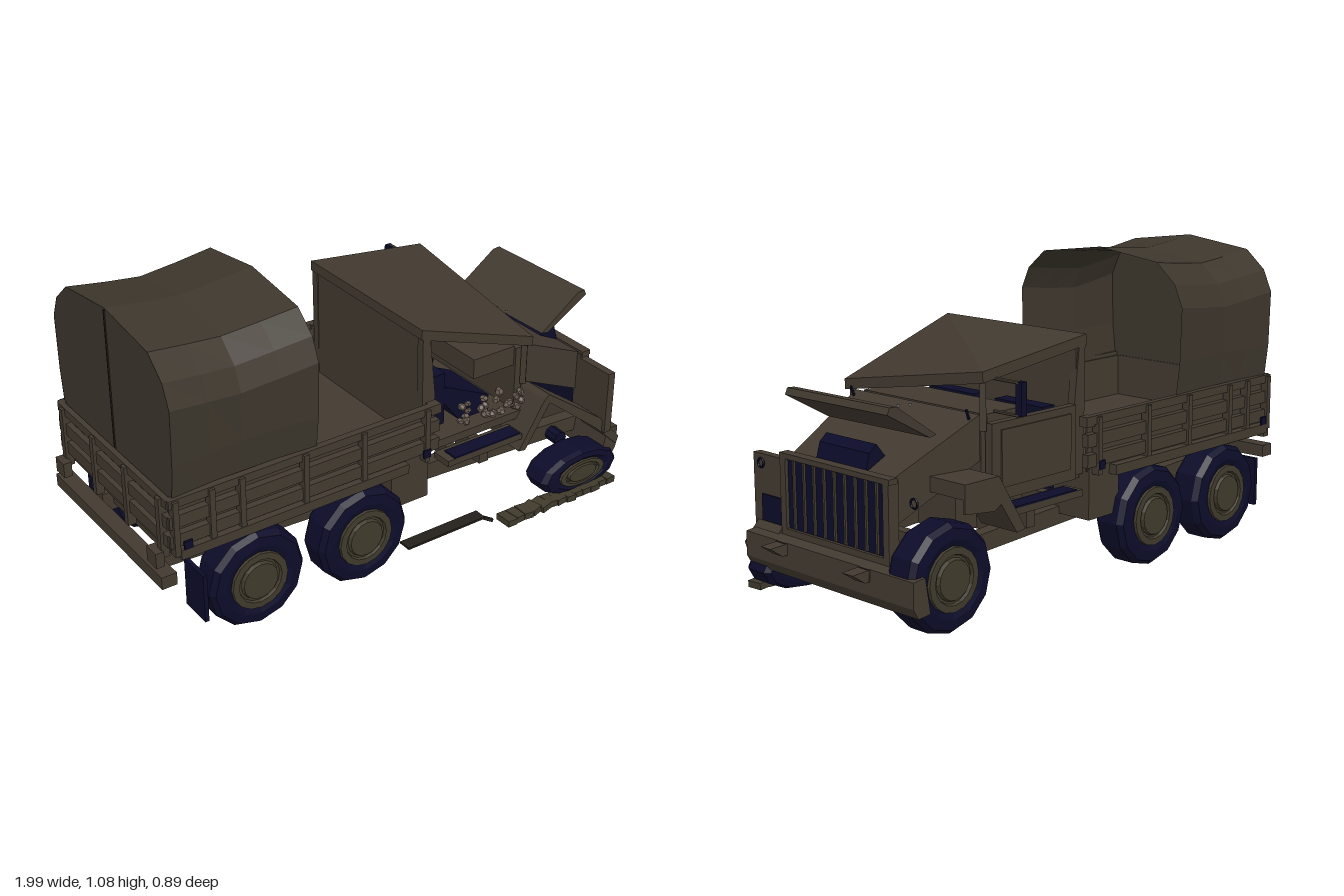
import * as THREE from 'three';
import { ConvexGeometry } from 'three/addons/geometries/ConvexGeometry.js';

export function createModel() {
  const g = new THREE.Group();
  const paint = (name, color) => {
    const m = new THREE.MeshStandardMaterial({ color, flatShading: true, side: THREE.DoubleSide });
    m.name = name;
    return m;
  };
  const body = paint('drab body', 0x423a30);
  const canvas = paint('canvas', 0x3d362c);
  const navy = paint('dark navy', 0x0c0c2a);
  const hubMat = paint('olive hub', 0x403a2c);
  const dark = paint('dark metal', 0x241f1a);
  const rubbleMat = paint('rubble', 0x67594f);

  const add = (name, geo, mat, parent = g) => {
    const m = new THREE.Mesh(geo, mat);
    m.name = name;
    parent.add(m);
    return m;
  };
  // box given by its extents
  const box = (name, mat, x0, x1, y0, y1, z0, z1) => {
    const m = add(name, new THREE.BoxGeometry(x1 - x0, y1 - y0, z1 - z0), mat);
    m.position.set((x0 + x1) / 2, (y0 + y1) / 2, (z0 + z1) / 2);
    return m;
  };
  const pair = (name, mat, x0, x1, y0, y1, z0, z1) => {
    box(name, mat, x0, x1, y0, y1, z0, z1);
    box(name, mat, x0, x1, y0, y1, -z1, -z0);
  };
  // side outline (x, y) pushed from z0 to z1
  const prism = (name, mat, pts, z0, z1) => {
    const s = new THREE.Shape(pts.map(p => new THREE.Vector2(p[0], p[1])));
    const m = add(name, new THREE.ExtrudeGeometry(s, { depth: z1 - z0, bevelEnabled: false }), mat);
    m.position.z = z0;
    return m;
  };
  const rod = (name, mat, a, b, r, sides = 8) => {
    const p = new THREE.Vector3(...a), q = new THREE.Vector3(...b), d = q.clone().sub(p);
    const m = add(name, new THREE.CylinderGeometry(r, r, d.length(), sides), mat);
    m.position.copy(p).add(q).multiplyScalar(0.5);
    m.quaternion.setFromUnitVectors(new THREE.Vector3(0, 1, 0), d.normalize());
    return m;
  };
  const hull = (name, mat, pts) => add(name, new ConvexGeometry(pts.map(p => new THREE.Vector3(...p))), mat);
  let seed = 7;
  const rand = () => (seed = (seed * 16807) % 2147483647) / 2147483647;

  // wheels
  const lathe = (pts, n) => new THREE.LatheGeometry(pts.map(p => new THREE.Vector2(p[0], p[1])), n).rotateX(Math.PI / 2);
  const tyreGeo = lathe([[0, -0.06], [0.13, -0.065], [0.165, -0.06], [0.18, -0.04], [0.18, 0.04], [0.165, 0.06], [0.13, 0.065], [0.1, 0.055], [0, 0.055]], 12);
  const hubGeo = lathe([[0.108, 0.05], [0.105, 0.067], [0.082, 0.068], [0.078, 0.058], [0.07, 0.058], [0.065, 0.07], [0, 0.07]], 16);
  const wheel = (name, x, y, side, squash = 1) => {
    const w = new THREE.Group();
    w.name = name;
    add('tyre', tyreGeo, navy, w);
    add('hub', hubGeo, hubMat, w);
    w.position.set(x, y, side * 0.345);
    w.scale.y = squash;
    if (side < 0) w.rotation.y = Math.PI;
    g.add(w);
  };
  for (const s of [1, -1]) for (const x of [-0.66, -0.24]) wheel('rearWheel', x, 0.185, s);
  wheel('frontWheel', 0.74, 0.185, -1);
  wheel('collapsedFrontWheel', 0.74, 0.09, 1, 0.47);

  // chassis
  for (const z of [0.2, -0.2]) {
    prism('chassisRail', body, [[-0.92, 0.23], [0.9, 0.14], [0.9, 0.2], [-0.92, 0.3]], z - 0.025, z + 0.025);
    prism('towHook', body, [[0.88, 0.18], [0.94, 0.18], [0.99, 0.215], [0.88, 0.22]], z - 0.025, z + 0.025);
  }
  for (const x of [-0.86, -0.45, -0.02, 0.3, 0.58]) box('crossMember', body, x - 0.02, x + 0.02, 0.21 - x * 0.05, 0.26 - x * 0.05, -0.2, 0.2);
  for (const x of [-0.66, -0.24]) {
    rod('axle', navy, [x, 0.185, -0.3], [x, 0.185, 0.3], 0.028);
    add('differential', new THREE.IcosahedronGeometry(0.06, 1), navy).position.set(x, 0.185, 0);
  }
  rod('frontAxle', navy, [0.74, 0.185, -0.3], [0.74, 0.17, 0.28], 0.028);
  rod('driveShaft', navy, [-0.66, 0.19, 0], [0.4, 0.22, 0], 0.016);
  box('gearbox', body, 0.1, 0.42, 0.2, 0.36, -0.09, 0.09);
  pair('sideLocker', body, -0.1, 0.055, 0.22, 0.4, 0.2, 0.36);
  pair('mudFlap', navy, -0.865, -0.85, 0.1, 0.28, 0.28, 0.4);
  box('rearBumper', body, -0.995, -0.94, 0.265, 0.31, -0.37, 0.37);
  pair('tailLamp', body, -1, -0.97, 0.335, 0.39, 0.29, 0.35);

  // cargo bed with slatted sides and tailgate
  box('bedFloor', body, -0.94, 0.05, 0.365, 0.41, -0.36, 0.36);
  for (let z = -0.3; z < 0.31; z += 0.15) box('floorBearer', body, -0.92, 0.03, 0.335, 0.365, z - 0.02, z + 0.02);
  pair('bedSill', body, -0.93, -0.05, 0.365, 0.4, 0.35, 0.392);
  for (const [y0, y1] of [[0.41, 0.455], [0.48, 0.525], [0.555, 0.585]]) {
    pair('sideSlat', body, -0.96, 0.085, y0, y1, 0.355, 0.38);
    box('tailSlat', body, -0.965, -0.945, y0, y1, -0.37, 0.37);
  }
  pair('sideBoard', body, -0.94, 0.06, 0.39, 0.57, 0.346, 0.354);
  box('tailBoard', body, -0.945, -0.935, 0.38, 0.57, -0.35, 0.35);
  for (const x of [-0.94, -0.81, -0.7, -0.46, -0.23, 0.03]) pair('sidePost', body, x - 0.01, x + 0.01, 0.38, 0.58, 0.36, 0.39);
  for (const z of [-0.33, -0.11, 0.11, 0.33]) box('tailPost', body, -0.975, -0.945, 0.36, 0.58, z - 0.012, z + 0.012);
  pair('sideReflector', navy, -0.92, -0.89, 0.4, 0.43, 0.388, 0.395);
  pair('sideReflector', navy, 0.01, 0.04, 0.4, 0.43, 0.388, 0.395);
  pair('railEnd', body, 0.05, 0.09, 0.55, 0.585, 0.345, 0.38);

  // canvas cover, sagging between its end hoops
  const half = [[0.365, 0.57], [0.38, 0.7], [0.385, 0.9], [0.35, 0.98], [0.27, 1.05]];
  const hoop = [...half, [0, 1.085], ...half.slice().reverse().map(p => [-p[0], p[1]])];
  const xs = [-0.94, -0.8, -0.68, -0.54, -0.405], sag = [0, 0.018, 0.03, 0.018, 0.003];
  const pos = [], idx = [], n = hoop.length;
  xs.forEach((x, i) => hoop.forEach(([z, y]) => pos.push(x, y - (y > 0.8 ? sag[i] : 0), z * (1 - sag[i] * 1.6))));
  for (let i = 0; i < xs.length - 1; i++) for (let j = 0; j < n - 1; j++) {
    const a = i * n + j, b = a + n;
    idx.push(a, b, a + 1, b, b + 1, a + 1);
  }
  const cover = new THREE.BufferGeometry();
  cover.setAttribute('position', new THREE.Float32BufferAttribute(pos, 3));
  cover.setIndex(idx);
  cover.computeVertexNormals();
  add('canvasCover', cover, canvas);
  const curtain = add('rearCurtain', new THREE.ShapeGeometry(new THREE.Shape(hoop.map(p => new THREE.Vector2(p[0], p[1])))), canvas);
  curtain.rotation.y = -Math.PI / 2;
  curtain.position.x = -0.939;
  box('curtainSeam', dark, -0.944, -0.94, 0.58, 1.08, -0.003, 0.003);

  // cab with crushed roof
  const roofTop = [[0.04, 0.855, 0.33], [0.04, 0.855, -0.33], [0.53, 0.795, -0.33], [0.53, 0.685, 0.33]];
  hull('crushedRoof', body, [...roofTop, ...roofTop.map(p => [p[0], p[1] - 0.037, p[2]])]);
  box('cabBackWall', body, 0.05, 0.085, 0.38, 0.825, -0.325, 0.325);
  for (const s of [-1, 1]) prism('rearPillar', body, [[0.05, 0.38], [0.1, 0.38], [0.1, 0.6], [0.075, 0.82], [0.045, 0.82]], s * 0.315 - 0.015, s * 0.315 + 0.015);
  box('cabFloor', body, 0.06, 0.5, 0.365, 0.395, -0.32, 0.32);
  box('firewall', body, 0.48, 0.51, 0.365, 0.64, -0.3, 0.3);
  box('door', body, 0.1, 0.5, 0.37, 0.625, -0.34, -0.31);
  box('doorPanel', body, 0.13, 0.46, 0.41, 0.6, -0.346, -0.34);
  box('dashboard', body, 0.3, 0.48, 0.57, 0.645, -0.29, 0.29);
  rod('frontPillar', body, [0.51, 0.6, -0.31], [0.51, 0.78, -0.31], 0.015, 4);
  rod('frontPillar', body, [0.51, 0.5, 0.31], [0.51, 0.67, 0.31], 0.015, 4);
  for (const z of [-0.16, 0.16]) {
    box('seatBack', navy, 0.13, 0.19, 0.42, 0.62, z - 0.11, z + 0.11);
    prism('seatCushion', navy, [[0.15, 0.55], [0.2, 0.56], [0.39, 0.47], [0.37, 0.41], [0.26, 0.41]], z - 0.11, z + 0.11);
  }
  pair('sideStep', body, 0.12, 0.45, 0.325, 0.348, 0.31, 0.39);
  pair('stepTread', navy, 0.15, 0.44, 0.348, 0.354, 0.33, 0.39);
  pair('stepBracket', body, 0.3, 0.34, 0.25, 0.325, 0.2, 0.34);

  // mirror
  for (const y of [0.66, 0.765]) rod('mirrorArm', body, [0.47, y, -0.32], [0.47, y, -0.43], 0.006, 6);
  box('mirror', navy, 0.45, 0.475, 0.66, 0.768, -0.445, -0.418);
  for (const z of [-0.275, 0.275]) rod('wiper', navy, [0.535, 0.63, z], [0.55, 0.67, z], 0.005, 5);

  // nose, opened bonnet and engine
  const nose = [];
  for (const s of [-1, 1]) nose.push([0.51, 0.65, s * 0.295], [0.51, 0.5, s * 0.295], [0.85, 0.485, s * 0.24], [0.85, 0.33, s * 0.24]);
  hull('nose', body, nose);
  prism('engineBlock', navy, [[0.73, 0.5], [0.84, 0.48], [0.82, 0.55], [0.79, 0.575]], -0.12, 0.12);
  prism('openBonnet', body, [[0.66, 0.605], [0.69, 0.6], [0.87, 0.7], [0.86, 0.722], [0.83, 0.72]], -0.235, 0.235).rotation.y = 0.03;

  // grille
  box('grilleBack', navy, 0.835, 0.86, 0.24, 0.485, -0.235, 0.235);
  for (let i = 0; i < 9; i++) {
    const z = -0.2 + i * 0.05;
    box('grilleBar', body, 0.86, 0.868, 0.25, 0.48, z - 0.004, z + 0.004);
  }
  box('grilleFrame', body, 0.835, 0.872, 0.482, 0.5, -0.265, 0.265);
  box('grilleFrame', body, 0.835, 0.872, 0.225, 0.247, -0.25, 0.25);
  pair('grilleFrame', body, 0.83, 0.872, 0.225, 0.49, 0.235, 0.262);

  // lamp panel, crumpled fender and far fender
  box('lampPanel', body, 0.83, 0.86, 0.23, 0.475, 0.26, 0.415);
  box('lampRecess', navy, 0.86, 0.866, 0.25, 0.34, 0.265, 0.37);
  for (const z of [0.37, -0.37]) {
    const ring = add('headlampRing', new THREE.TorusGeometry(0.015, 0.004, 6, 12), navy);
    ring.rotation.y = Math.PI / 2;
    ring.position.set(0.866, 0.445, z);
  }
  prism('crumpledFender', body, [[0.43, 0.285], [0.46, 0.28], [0.565, 0.44], [0.8, 0.255], [0.91, 0.15], [0.92, 0.18], [0.82, 0.29], [0.56, 0.475], [0.54, 0.46]], 0.27, 0.4);
  prism('farFender', body, [[0.43, 0.285], [0.47, 0.28], [0.57, 0.43], [0.7, 0.43], [0.7, 0.48], [0.55, 0.48]], -0.42, -0.26);
  prism('farFenderSide', body, [[0.52, 0.4], [0.57, 0.37], [0.7, 0.385], [0.7, 0.48], [0.55, 0.48]], -0.42, -0.41);
  prism('frontBumper', body, [[0.85, 0.105], [0.9, 0.1], [0.92, 0.135], [0.92, 0.22], [0.87, 0.225]], -0.42, 0.39);
  pair('bumperPlate', dark, 0.92, 0.926, 0.18, 0.22, 0.18, 0.225);

  // scattered debris
  const chunk = new THREE.DodecahedronGeometry(0.016, 0);
  for (let i = 0; i < 26; i++) {
    const c = add('rubble', chunk, rubbleMat);
    c.position.set(0.2 + rand() * 0.27, 0.44 + rand() * 0.09, 0.345 + rand() * 0.035);
    c.rotation.set(rand() * 3, rand() * 3, 0);
    c.scale.set(1, 0.6 + rand() * 0.5, 0.8);
  }
  for (let i = 0; i < 13; i++) {
    const x = 0.385 + i * 0.04;
    const t = box('brokenTread', hubMat, x - 0.021, x + 0.021, 0.008, 0.032, 0.375, 0.43 + rand() * 0.015);
    t.rotation.set(0, rand() * 0.4 - 0.2, rand() * 0.3 - 0.15);
  }
  box('fallenTrim', dark, -0.04, 0.3, 0.04, 0.048, 0.335, 0.385);
  rod('fallenTrimEnd', dark, [0.29, 0.04, 0.36], [0.34, 0.015, 0.38], 0.008, 5);
  for (let i = 0; i < 4; i++) add('glassShard', new THREE.TetrahedronGeometry(0.009), dark).position.set(0.59 + i * 0.015, 0.66 - i * 0.007, -0.06 + i * 0.04);
  return g;
}
